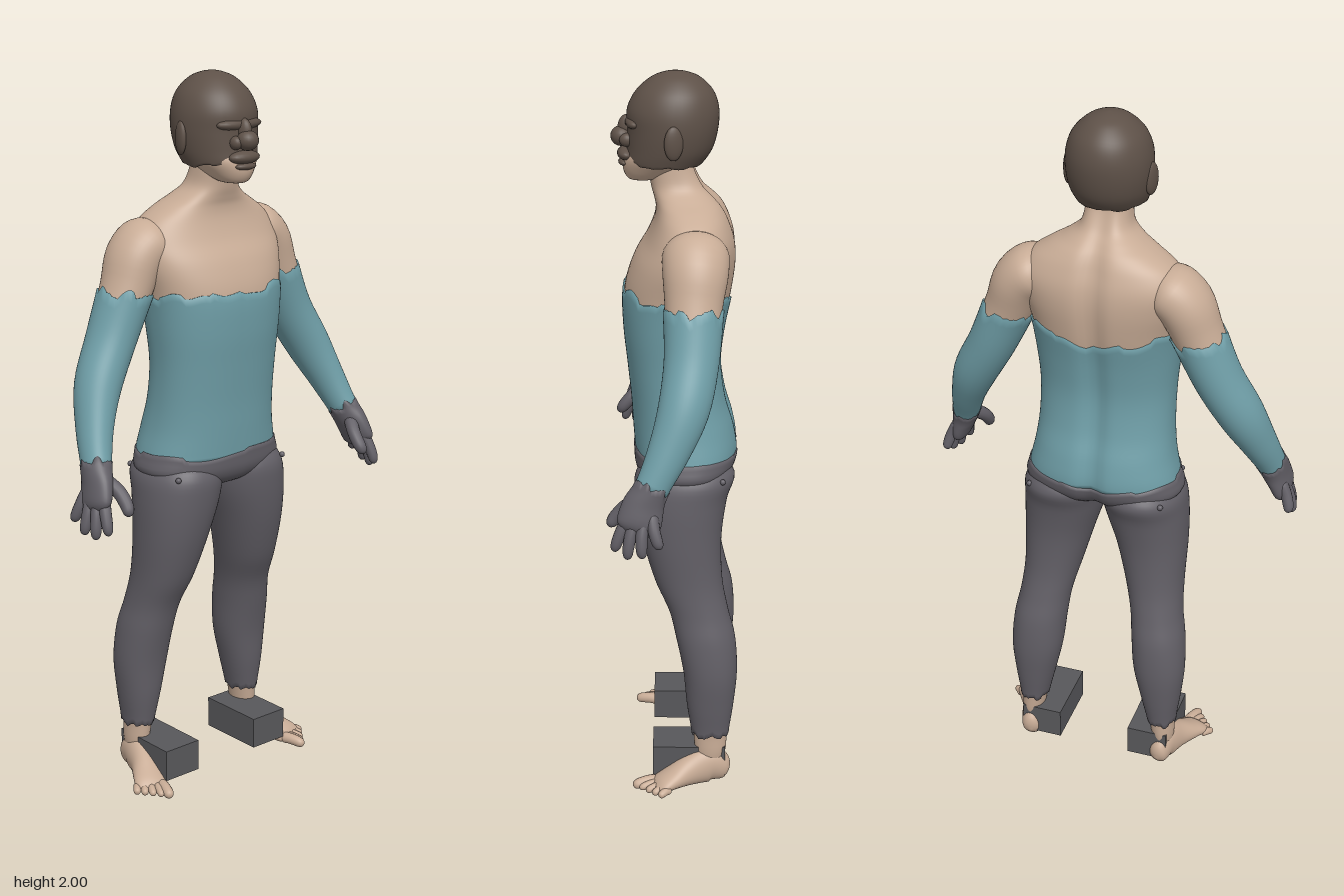
import * as THREE from 'three';

const mat = (color) => new THREE.MeshStandardMaterial({ color, roughness: 0.8, side: THREE.DoubleSide });
const SKIN = mat(0xc8ac96), SHIRT = mat(0x6f9ea7), DARK = mat(0x625f66), HAIR = mat(0x5e5148), BLOCK = mat(0x58585b);

// Catmull-Rom through rows of numbers; t runs in row units
function sample(rows, t) {
  const n = rows.length - 1;
  t = Math.min(Math.max(t, 0), n);
  const i = Math.min(Math.floor(t), n - 1), f = t - i;
  const p = (k) => rows[Math.min(Math.max(k, 0), n)];
  const [a, b, c, d] = [p(i - 1), p(i), p(i + 1), p(i + 2)];
  return b.map((_, k) => b[k] + 0.5 * f * (c[k] - a[k] + f * (2 * a[k] - 5 * b[k] + 4 * c[k] - d[k]
    + f * (3 * (b[k] - c[k]) + d[k] - a[k]))));
}

// Skin over rows of [x, y, z, radiusA, radiusB]; ends may vary with angle for torn hems
function loft(name, material, rows, o = {}) {
  const { flat = false, from = 0, to = rows.length - 1, grow = 0, power = 2, segs = 48, groove = 0 } = o;
  const start = typeof from === 'function' ? from : () => from;
  const end = typeof to === 'function' ? to : () => to;
  const steps = Math.max(4, Math.ceil((end(0) - start(0)) * 5));
  const pos = [], idx = [];
  const round = (v) => Math.sign(v) * Math.abs(v) ** (2 / power);
  for (let i = 0; i <= steps; i++) {
    const g = i === 0 || i === steps ? -0.004 : grow;
    for (let j = 0; j < segs; j++) {
      const a = (j / segs) * Math.PI * 2;
      const t = THREE.MathUtils.lerp(start(a), end(a), Math.max(0, Math.min(1, (i - 1) / (steps - 2))));
      const [x, y, z, ra, rb] = sample(rows, t);
      const T = new THREE.Vector3(0, 1, 0), A = new THREE.Vector3(1, 0, 0);
      if (!flat) {
        const u = sample(rows, t + 0.1), v = sample(rows, t - 0.1);
        T.set(u[0] - v[0], u[1] - v[1], u[2] - v[2]).normalize();
        A.addScaledVector(T, -T.x).normalize();
      }
      const B = new THREE.Vector3().crossVectors(T, A);
      const ca = round(Math.cos(a)) * Math.max(0, ra + g);
      let sb = round(Math.sin(a)) * Math.max(0, rb + g);
      if (groove && sb > 0) sb -= groove * Math.exp(-((ca / 0.03) ** 2)) * Math.min(1, rb / 0.1);
      const P = new THREE.Vector3(x, y, z).addScaledVector(A, ca).addScaledVector(B, sb);
      pos.push(P.x, P.y, P.z);
      if (i < steps) {
        const k = (j + 1) % segs, q = i * segs;
        idx.push(q + j, q + k, q + segs + j, q + k, q + segs + k, q + segs + j);
      }
    }
  }
  const geo = new THREE.BufferGeometry();
  geo.setAttribute('position', new THREE.Float32BufferAttribute(pos, 3));
  geo.setIndex(idx);
  geo.computeVertexNormals();
  const mesh = new THREE.Mesh(geo, material);
  mesh.name = name;
  return mesh;
}

function blob(name, material, [x, y, z], [rx, ry, rz]) {
  const mesh = new THREE.Mesh(new THREE.SphereGeometry(1, 20, 14), material);
  mesh.name = name;
  mesh.position.set(x, y, z);
  mesh.scale.set(rx, ry, rz);
  return mesh;
}

// Finger or toe: rounded tapering tube through a few points
function digit(name, material, points, r) {
  const curve = new THREE.CatmullRomCurve3(points.map((p) => new THREE.Vector3(...p)));
  const rows = [0, 0.03, 0.12, 0.4, 0.7, 0.88, 0.97, 1].map((u, i) => {
    const s = r * [0, 0.6, 1, 1, 0.95, 0.8, 0.45, 0][i];
    return [...curve.getPoint(u).toArray(), s, s];
  });
  return loft(name, material, rows, { segs: 14 });
}

const ring = ([y, xi, xo, zf, zb]) => [(xi + xo) / 2, y, (zf + zb) / 2, (xo - xi) / 2, (zf - zb) / 2];
const centred = ([y, rx, zf, zb]) => ring([y, -rx, rx, zf, zb]);
const torn = (a) => 0.06 * Math.sin(5 * a + 0.6) + 0.05 * Math.sin(11 * a) + 0.06 * Math.sign(Math.sin(7 * a + 2));

const TORSO = [
  [0.86, 0.03, 0.01, -0.06], [0.885, 0.13, 0.07, -0.12], [0.92, 0.212, 0.095, -0.16], [0.97, 0.207, 0.1, -0.175],
  [1.04, 0.192, 0.105, -0.165], [1.12, 0.184, 0.11, -0.142], [1.22, 0.184, 0.12, -0.13], [1.32, 0.193, 0.13, -0.14],
  [1.42, 0.205, 0.13, -0.16], [1.5, 0.225, 0.105, -0.17], [1.56, 0.23, 0.07, -0.167], [1.61, 0.2, 0.05, -0.152],
  [1.645, 0.15, 0.045, -0.135], [1.67, 0.105, 0.05, -0.115], [1.7, 0.07, 0.058, -0.088], [1.75, 0.06, 0.065, -0.065],
  [1.8, 0.058, 0.06, -0.06]].map(centred);
const LEG = [
  [0.04, 0.185, 0.225, -0.08, -0.13], [0.1, 0.172, 0.235, -0.065, -0.15], [0.165, 0.16, 0.236, -0.058, -0.155],
  [0.25, 0.14, 0.247, -0.045, -0.167], [0.35, 0.118, 0.256, -0.035, -0.176], [0.45, 0.108, 0.25, -0.015, -0.17],
  [0.53, 0.098, 0.236, 0.005, -0.15], [0.62, 0.075, 0.23, 0.045, -0.133], [0.74, 0.042, 0.232, 0.08, -0.13],
  [0.85, 0.008, 0.23, 0.098, -0.145], [0.92, 0.003, 0.218, 0.095, -0.165], [0.97, 0.05, 0.17, 0.05, -0.12]].map(ring);
const ARM = [
  [0.13, 1.575, -0.06, 0.02, 0.03], [0.175, 1.56, -0.06, 0.068, 0.082], [0.225, 1.52, -0.06, 0.075, 0.086],
  [0.262, 1.435, -0.055, 0.068, 0.075], [0.318, 1.31, -0.05, 0.061, 0.067], [0.378, 1.2, -0.03, 0.057, 0.062],
  [0.42, 1.1, 0.008, 0.044, 0.05], [0.45, 1.01, 0.052, 0.034, 0.04], [0.465, 0.965, 0.074, 0.027, 0.048],
  [0.48, 0.92, 0.086, 0.02, 0.05], [0.485, 0.9, 0.092, 0.004, 0.03]];
const FOOT = [
  [0.198, 0.035, -0.16, 0.004, 0.004], [0.2, 0.04, -0.148, 0.026, 0.034], [0.207, 0.058, -0.105, 0.035, 0.055],
  [0.224, 0.048, -0.05, 0.037, 0.045], [0.245, 0.034, 0, 0.045, 0.03], [0.262, 0.023, 0.035, 0.046, 0.02],
  [0.268, 0.02, 0.052, 0.03, 0.008]];

export function createModel() {
  const model = new THREE.Group();
  const body = { flat: true, power: 2.3, segs: 96, groove: 0.018 };

  // Bare upper body, shirt and seat of the trousers
  model.add(
    loft('upperBody', SKIN, TORSO, { ...body, from: 7, to: 16 }),
    loft('shirt', SHIRT, TORSO, { ...body, from: 2.8, grow: 0.005,
      to: (a) => 8.05 + torn(a) - 0.4 * Math.exp(-(((a - Math.PI / 2) / 0.35) ** 2)) }),
    loft('trouserSeat', DARK, TORSO, { ...body, from: 0, grow: 0.008,
      to: (a) => 3.05 + 1.2 * torn(a * 0.5) * Math.sin(a / 2) - 0.3 * Math.exp(-(((a - Math.PI / 2) / 0.3) ** 2)) }));

  // Head: bare jaw below a close dark hood
  model.add(
    loft('jaw', SKIN, [[1.712, 0.01, 0.1, 0.07], [1.718, 0.04, 0.12, 0.03], [1.745, 0.067, 0.132, -0.03],
      [1.78, 0.09, 0.128, -0.07], [1.82, 0.09, 0.1, -0.08]].map(centred), { flat: true }),
    loft('hood', HAIR, [[1.74, 0.088, 0.112, -0.06], [1.765, 0.098, 0.124, -0.085], [1.8, 0.108, 0.122, -0.107],
      [1.85, 0.114, 0.12, -0.12], [1.9, 0.111, 0.12, -0.122], [1.945, 0.094, 0.098, -0.108],
      [1.98, 0.06, 0.06, -0.075], [1.995, 0.028, 0.025, -0.04], [2, 0.002, -0.004, -0.008]].map(centred),
    { flat: true, segs: 64, from: (a) => 0.75 + torn(a) + 0.35 * Math.max(0, -Math.sin(a)) }),
    blob('brow', HAIR, [0, 1.868, 0.1], [0.075, 0.018, 0.026]),
    blob('noseBridge', HAIR, [0, 1.85, 0.12], [0.018, 0.035, 0.025]),
    blob('noseTip', HAIR, [0, 1.828, 0.135], [0.03, 0.027, 0.029]),
    blob('upperLip', HAIR, [0, 1.783, 0.122], [0.05, 0.018, 0.025]),
    blob('lowerLip', HAIR, [0, 1.76, 0.128], [0.034, 0.01, 0.016]));

  for (const s of [1, -1]) {
    const side = new THREE.Group();
    side.name = s > 0 ? 'leftSide' : 'rightSide';
    const flip = (rows) => rows.map(([x, ...rest]) => [x * s, ...rest]);

    // Ear and side of the nose
    const ear = blob('ear', HAIR, [0.113 * s, 1.83, -0.003], [0.012, 0.045, 0.026]);
    ear.rotation.y = 0.3 * s;
    side.add(ear, blob('nostril', HAIR, [0.028 * s, 1.822, 0.12], [0.016, 0.018, 0.02]));

    // Arm with torn sleeve and glove
    const arm = flip(ARM);
    side.add(
      loft('shoulder', SKIN, arm, { to: 3.6 }),
      loft('sleeve', SHIRT, arm, { from: (a) => 3.05 + 0.15 * s * Math.cos(a) + 0.7 * torn(a), to: 7.1, grow: 0.005 }),
      loft('glove', DARK, arm, { from: (a) => 6.95 + 0.8 * torn(a), grow: 0.007 }));
    const fingers = [
      [[0.468, 0.95, 0.105], [0.482, 0.9, 0.132], [0.487, 0.85, 0.15]],
      [[0.474, 0.945, 0.09], [0.495, 0.89, 0.108], [0.503, 0.834, 0.115]],
      [[0.479, 0.945, 0.07], [0.502, 0.89, 0.078], [0.512, 0.84, 0.076]],
      [[0.478, 0.955, 0.052], [0.502, 0.905, 0.044], [0.512, 0.866, 0.03]]];
    fingers.forEach((f) => side.add(digit('finger', DARK, flip(f), 0.016)));
    side.add(digit('thumb', DARK, flip([[0.45, 0.985, 0.08], [0.425, 0.94, 0.13], [0.428, 0.895, 0.165]]), 0.019));

    // Leg, foot and toes
    const leg = flip(LEG);
    side.add(
      loft('ankle', SKIN, leg, { flat: true, to: 2.6 }),
      loft('trouserLeg', DARK, leg, { flat: true, power: 2.15, segs: 64, grow: 0.005, from: (a) => 1.9 + 0.7 * torn(a) }),
      loft('foot', SKIN, flip(FOOT)));
    for (let i = 0; i < 5; i++) {
      const u = i / 4;
      const base = [0.234 + 0.056 * u, 0.021, 0.042 - 0.035 * u], tip = [0.256 + 0.06 * u, 0.014, 0.112 - 0.075 * u];
      const mid = base.map((v, k) => (v + tip[k]) / 2 + (k === 1 ? 0.004 : 0));
      side.add(digit('toe', SKIN, flip([base, mid, tip]), i ? 0.0115 : 0.016));
    }

    // Trouser studs
    for (const z of [0.074, -0.136]) side.add(blob('stud', DARK, [0.19 * s, 0.92, z], [0.008, 0.008, 0.008]));

    // Block beside the foot
    const block = new THREE.Mesh(new THREE.BoxGeometry(0.118, 0.09, 0.205), BLOCK);
    block.name = 'footBlock';
    block.position.set(0.165 * s, 0.075, -0.047);
    side.add(block);
    model.add(side);
  }
  return model;
}
